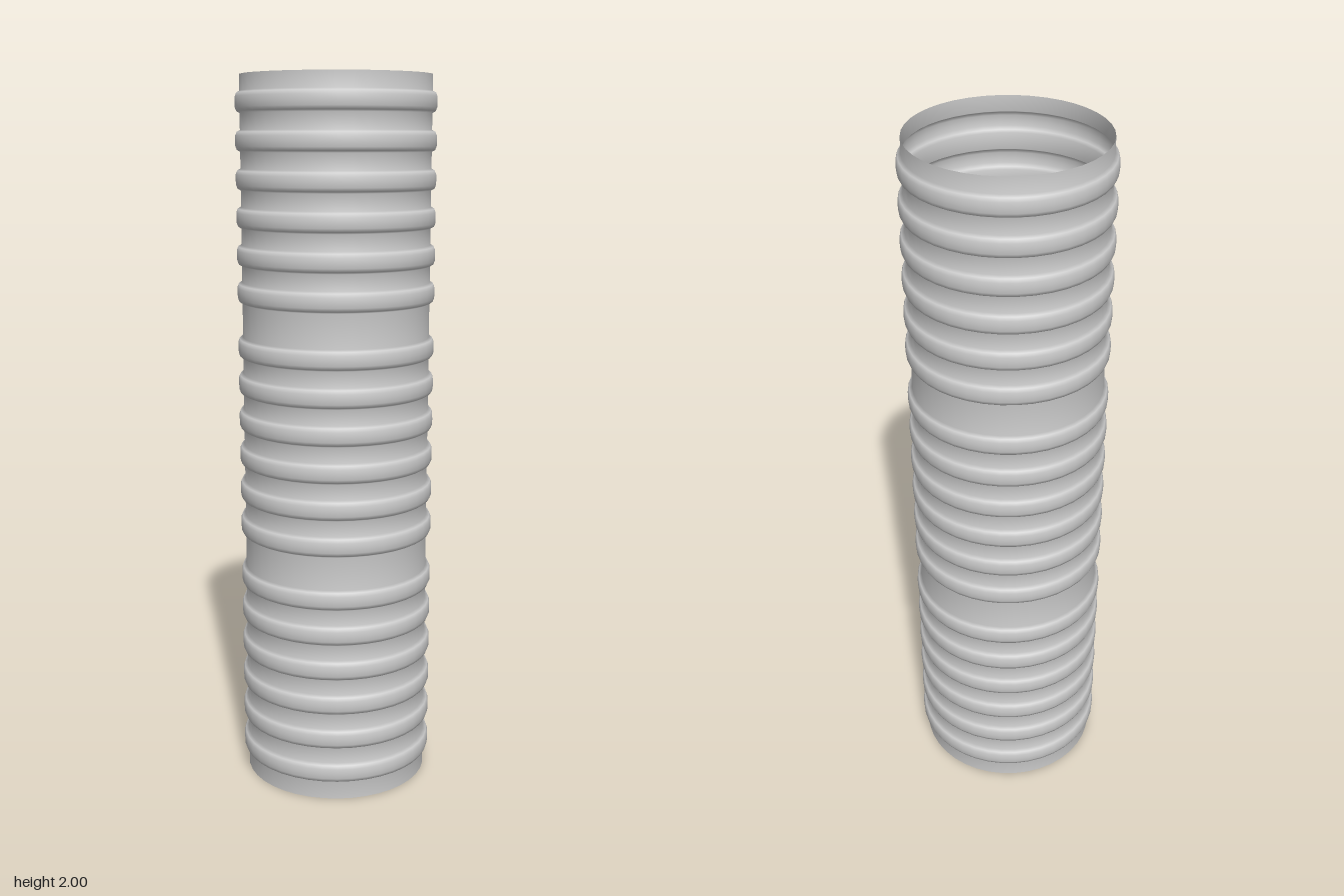
import * as THREE from 'three';

const HEIGHT = 2;
const SECTIONS = 3;           // repeated lengths of pipe
const RIBS = 6;               // ribs per section
const RADIUS = 0.262;         // plain wall
const FIRST_RIB = 0.081;      // height of the lowest rib in a section
const RIB_STEP = 0.1027;

// Half-rounded rib: radial bulge and height relative to the rib centre
const RIB_PROFILE = [
  [0, -0.029], [0.009, -0.024], [0.013, -0.014], [0.0135, 0],
  [0.013, 0.014], [0.009, 0.024], [0, 0.029],
];

export function createModel() {
  const group = new THREE.Group();
  group.name = 'corrugatedPipe';

  // Wall profile from bottom to top, with ribs in evenly spaced sets
  const profile = [new THREE.Vector2(RADIUS, 0)];
  for (let s = 0; s < SECTIONS; s++) {
    for (let r = 0; r < RIBS; r++) {
      const y = (s * HEIGHT) / SECTIONS + FIRST_RIB + r * RIB_STEP;
      for (const [bulge, dy] of RIB_PROFILE) {
        profile.push(new THREE.Vector2(RADIUS + bulge, y + dy));
      }
    }
  }
  profile.push(new THREE.Vector2(RADIUS, HEIGHT));

  // Thin open tube, seen from inside and outside
  const wall = new THREE.Mesh(
    new THREE.LatheGeometry(profile, 40),
    new THREE.MeshStandardMaterial({ color: 0xcccccc, side: THREE.DoubleSide })
  );
  wall.name = 'ribbedWall';
  group.add(wall);
  return group;
}
